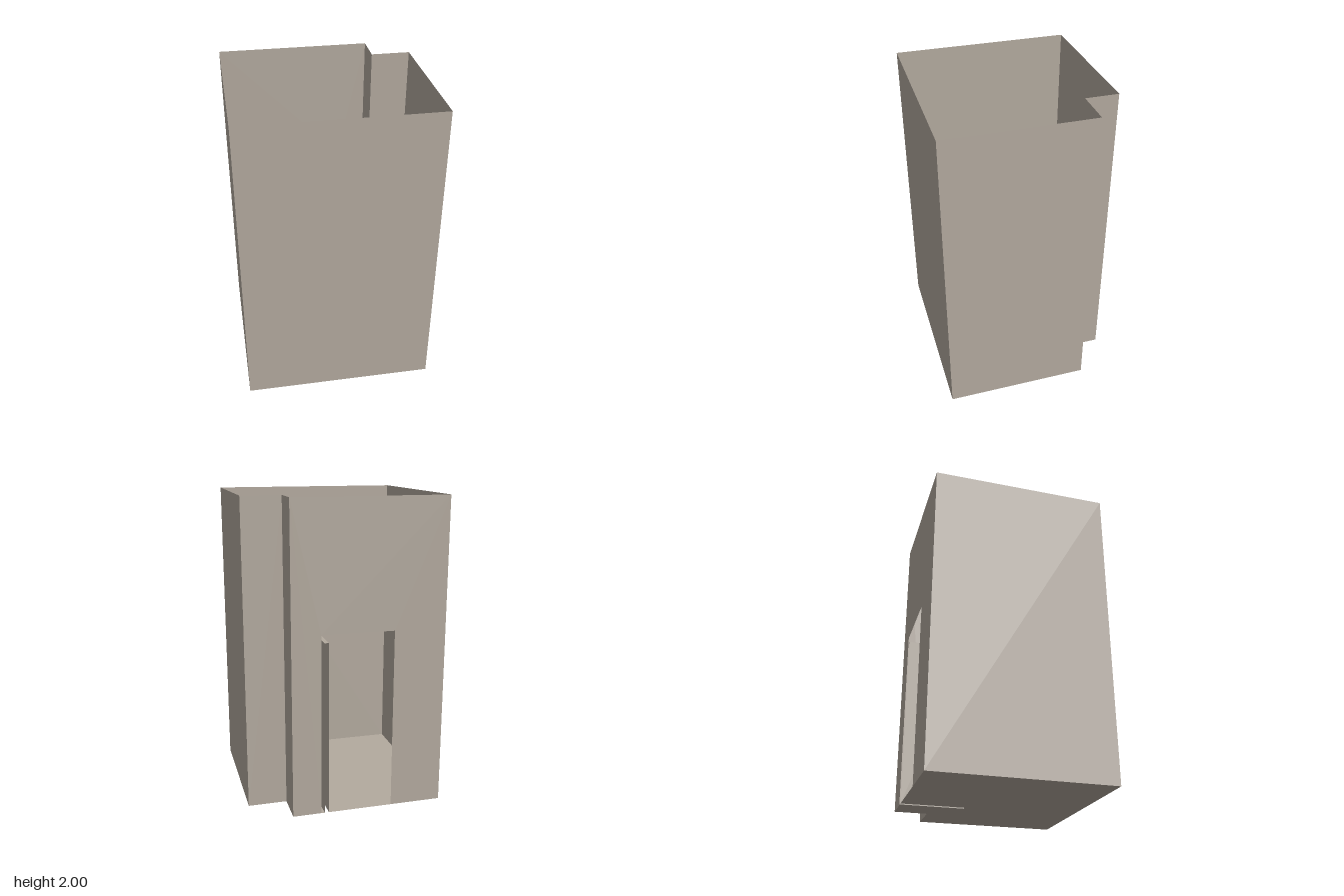
import * as THREE from 'three';

const W = 0.622, D = 0.575, H = 2;              // half width, half depth, wall height
const NOTCH_X = 0.37, NOTCH_Z = -0.36;          // recessed back corner
const DOOR = { x0: 0.136, x1: 0.163, z: -0.16, h: 1.13 };
const OPENING = { x0: -0.285, x1: 0.184, h: 1.18 };

const plaster = new THREE.MeshStandardMaterial({ color: 0xb3aa9f, side: THREE.DoubleSide });
plaster.name = 'warm grey plaster';

function flat(name, points) {
  const shape = new THREE.Shape(points.map(([x, y]) => new THREE.Vector2(x, y)));
  const mesh = new THREE.Mesh(new THREE.ShapeGeometry(shape), plaster);
  mesh.name = name;
  return mesh;
}

// Upright sheet from floor point a to floor point b; its front is on the outside.
// Outline points are [distance along the sheet, height].
function sheet(name, [ax, az], [bx, bz], height, outline) {
  const len = Math.hypot(bx - ax, bz - az);
  const mesh = flat(name, outline || [[0, 0], [len, 0], [len, height], [0, height]]);
  mesh.position.set(ax, 0, az);
  mesh.rotation.y = Math.atan2(-(bz - az), bx - ax);
  return mesh;
}

// Level sheet from [x, z] points, facing up
function level(name, points, y) {
  const mesh = flat(name, points.map(([x, z]) => [x, -z]));
  mesh.rotation.x = -Math.PI / 2;
  mesh.position.y = y;
  return mesh;
}

export function createModel() {
  const room = new THREE.Group();
  room.name = 'room';
  const { x0, x1, z, h } = DOOR;

  // Plain walls
  room.add(
    sheet('frontWall', [-W, D], [W, D], H),
    sheet('leftWall', [W, D], [W, NOTCH_Z], H),
    sheet('recessBackWall', [W, NOTCH_Z], [NOTCH_X, NOTCH_Z], H),
    sheet('recessSideWall', [NOTCH_X, NOTCH_Z], [NOTCH_X, -D], H),
    sheet('rightWall', [-W, -D], [-W, D], H)
  );

  // Back wall with the doorway cut out of its lower edge
  const near = NOTCH_X - OPENING.x1, far = NOTCH_X - OPENING.x0, len = NOTCH_X + W;
  room.add(sheet('backWall', [NOTCH_X, -D], [-W, -D], H, [
    [0, 0], [near, 0], [near, OPENING.h], [far, OPENING.h],
    [far, 0], [len, 0], [len, H], [0, H]
  ]));

  // Floor with the door's slot left open
  room.add(level('floor', [
    [-W, D], [W, D], [W, NOTCH_Z], [NOTCH_X, NOTCH_Z], [NOTCH_X, -D],
    [x1, -D], [x1, z], [x0, z], [x0, -D], [-W, -D]
  ], 0));

  // Open door: a hollow leaf, open underneath and along its hinge edge
  const door = new THREE.Group();
  door.name = 'door';
  door.add(
    sheet('doorRightFace', [x0, -D], [x0, z], h),
    sheet('doorEndFace', [x0, z], [x1, z], h),
    sheet('doorLeftFace', [x1, z], [x1, -D], h),
    level('doorTop', [[x0, z], [x1, z], [x1, -D], [x0, -D]], h)
  );
  room.add(door);
  return room;
}
